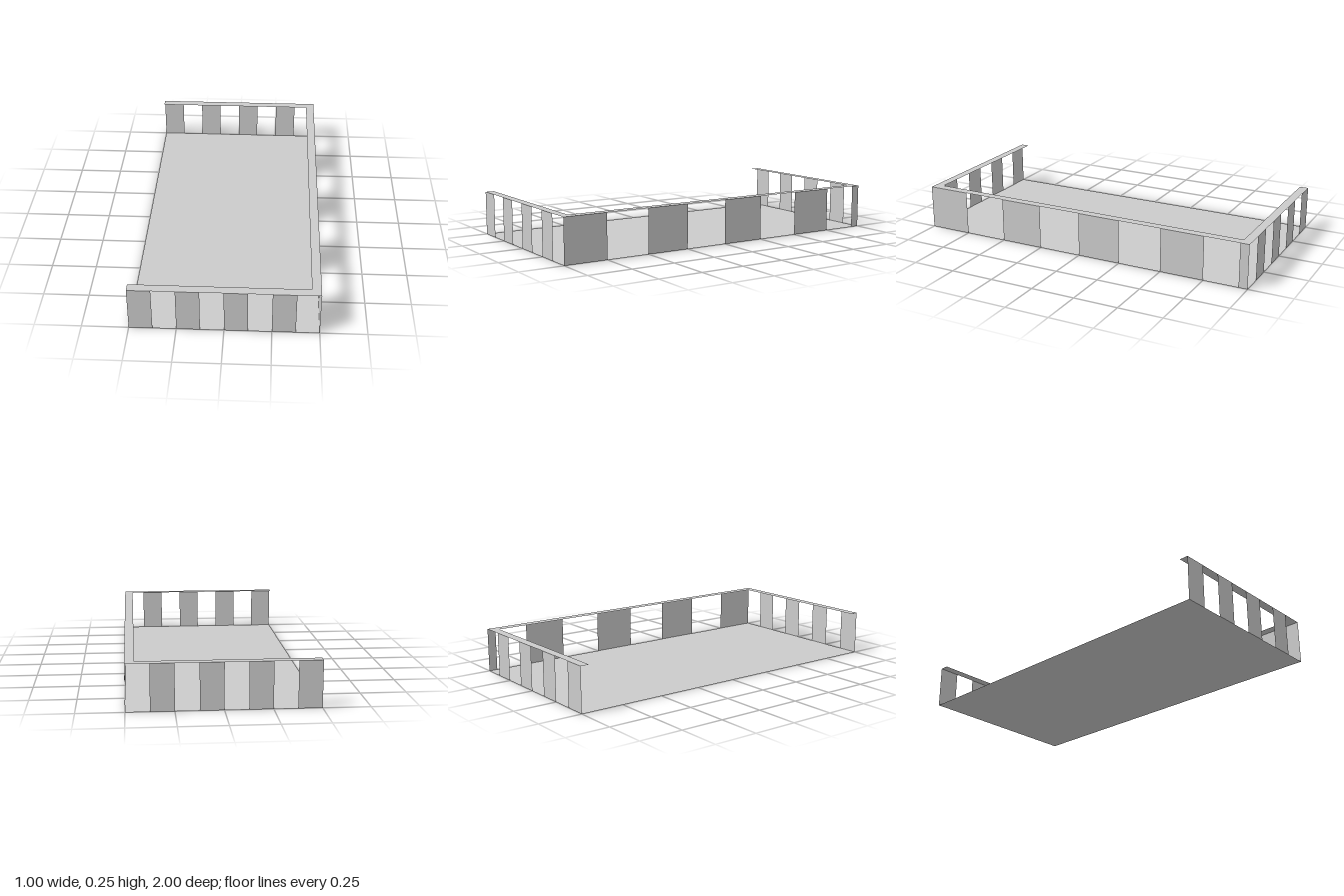
import * as THREE from 'three';

const LEFT = -0.5, RIGHT = 0.5, FRONT = 1, BACK = -1, HEIGHT = 0.25, RIM = 0.05;

const material = new THREE.MeshStandardMaterial({
  color: 0xcccccc, flatShading: true, side: THREE.DoubleSide,
});

function addMesh(parent, name, geometry) {
  const mesh = new THREE.Mesh(geometry, material);
  mesh.name = name;
  parent.add(mesh);
  return mesh;
}

// Upright thin panel facing front, or facing the side when turned
function addPanel(parent, name, width, x, z, sideways = false) {
  const panel = addMesh(parent, name, new THREE.PlaneGeometry(width, HEIGHT));
  panel.position.set(x, HEIGHT / 2, z);
  if (sideways) panel.rotation.y = Math.PI / 2;
}

export function createModel() {
  const model = new THREE.Group();
  model.name = 'railedPlatform';

  // Floor sheet
  addMesh(model, 'floor', new THREE.PlaneGeometry(RIGHT - LEFT, FRONT - BACK).rotateX(-Math.PI / 2));

  // Front and back walls: four evenly spaced panels each
  for (const [name, z] of [['frontWall', FRONT], ['backWall', BACK]]) {
    const wall = new THREE.Group();
    wall.name = name;
    for (let i = 0; i < 4; i++) addPanel(wall, 'panel', 0.125, LEFT + 0.0625 + i * 0.25, z);
    model.add(wall);
  }

  // Long side wall: four wide panels and a narrow post at the back corner
  const sideWall = new THREE.Group();
  sideWall.name = 'sideWall';
  for (let i = 0; i < 4; i++) addPanel(sideWall, 'panel', 0.25, RIGHT, FRONT - 0.125 - i * 0.5, true);
  addPanel(sideWall, 'cornerPost', RIM, RIGHT, BACK + RIM / 2, true);
  model.add(sideWall);

  // Flat U-shaped rim along the wall tops, open on the other long side
  const rimShape = new THREE.Shape([
    [LEFT, -1], [RIGHT, -1], [RIGHT, 1], [LEFT, 1],
    [LEFT, 1 - RIM], [RIGHT - RIM, 1 - RIM], [RIGHT - RIM, RIM - 1], [LEFT, RIM - 1],
  ].map(([x, y]) => new THREE.Vector2(x, y)));
  const rim = addMesh(model, 'topRim', new THREE.ShapeGeometry(rimShape).rotateX(-Math.PI / 2));
  rim.position.y = HEIGHT;

  return model;
}
